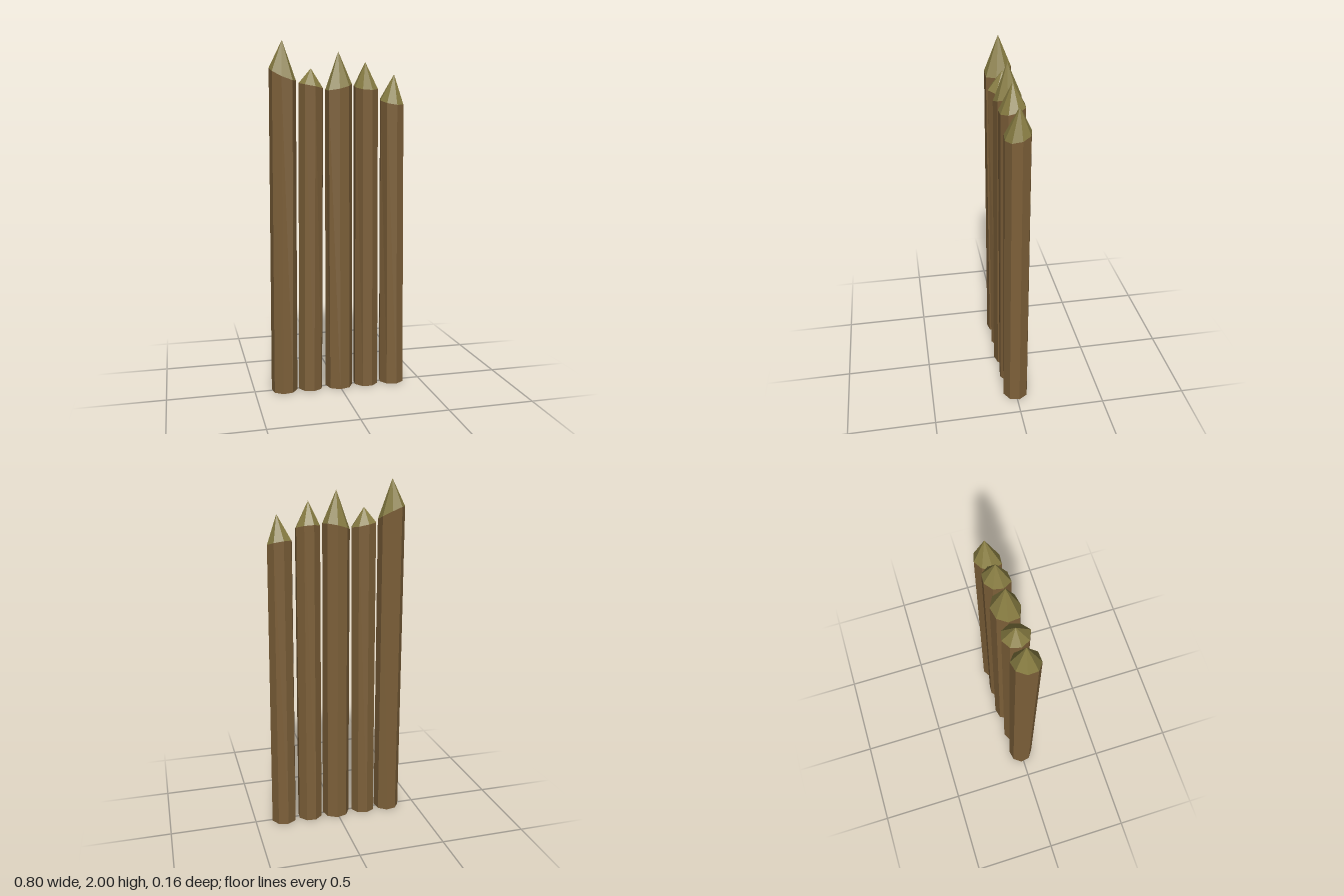
import * as THREE from 'three';

const SIDES = 8;
const wood = new THREE.MeshStandardMaterial({ color: 0x7d6039, flatShading: true });
const cutWood = new THREE.MeshStandardMaterial({ color: 0x877c42, flatShading: true });

// x0, r0: centre and radius at the ground; x1, r1: at the shoulder;
// y, slope, dir: mean shoulder height, its tilt and the angle of its high side;
// turn: angle of the corner that juts out; tip: the point
const STAKES = [
  { x0: -0.326, r0: 0.075, x1: -0.317, r1: 0.075, y: 1.815, slope: 0.038, dir: 215, turn: 58, tip: [-0.317, 2.0, -0.01] },
  { x0: -0.170, r0: 0.072, x1: -0.157, r1: 0.072, y: 1.755, slope: 0.015, dir: 200, turn: 83, tip: [-0.157, 1.85, -0.006] },
  { x0: 0.002, r0: 0.080, x1: 0.001, r1: 0.076, y: 1.75, slope: 0.022, dir: -30, turn: 142, tip: [0, 1.945, -0.006] },
  { x0: 0.166, r0: 0.073, x1: 0.161, r1: 0.070, y: 1.75, slope: 0.018, dir: 260, turn: 117, tip: [0.157, 1.89, -0.006] },
  { x0: 0.327, r0: 0.075, x1: 0.316, r1: 0.071, y: 1.67, slope: 0.02, dir: 245, turn: 126, tip: [0.33, 1.825, -0.01] },
];

function meshFrom(triangles, material, name) {
  const geometry = new THREE.BufferGeometry();
  geometry.setAttribute('position', new THREE.Float32BufferAttribute(triangles.flat(), 3));
  geometry.computeVertexNormals();
  const mesh = new THREE.Mesh(geometry, material);
  mesh.name = name;
  return mesh;
}

function makeStake(s) {
  const base = [], rim = [];
  for (let i = 0; i < SIDES; i++) {
    const a = THREE.MathUtils.degToRad(s.turn + (i * 360) / SIDES);
    const r = s.r1 * (i === 0 ? 1.13 : 1);
    const y = s.y + s.slope * Math.cos(a - THREE.MathUtils.degToRad(s.dir));
    base.push([s.x0 + s.r0 * Math.cos(a), 0, s.r0 * Math.sin(a)]);
    rim.push([s.x1 + r * Math.cos(a), y, -0.006 + r * Math.sin(a)]);
  }

  const post = [], point = [];
  for (let i = 0; i < SIDES; i++) {
    const j = (i + 1) % SIDES;
    // side panel and underside
    post.push(base[i], rim[i], rim[j], base[i], rim[j], base[j]);
    post.push(base[i], base[j], [s.x0, 0, 0]);
    // sharpened facet
    point.push(rim[i], s.tip, rim[j]);
  }

  const stake = new THREE.Group();
  stake.name = 'stake';
  stake.add(meshFrom(post, wood, 'post'), meshFrom(point, cutWood, 'sharpenedPoint'));
  return stake;
}

export function createModel() {
  const group = new THREE.Group();
  group.name = 'palisade';
  STAKES.forEach((s) => group.add(makeStake(s)));
  return group;
}
